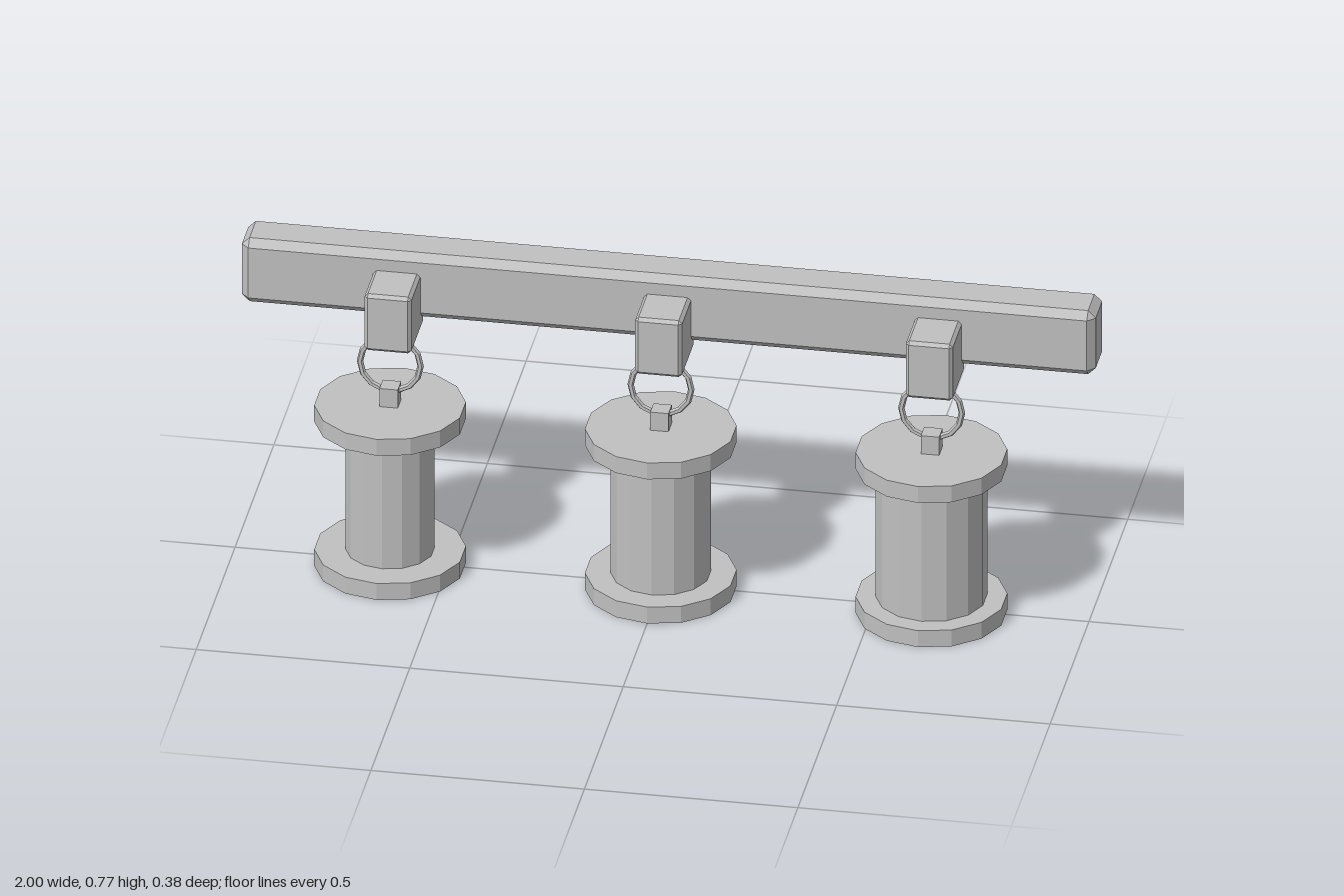
import * as THREE from 'three';
import { ConvexGeometry } from 'three/addons/geometries/ConvexGeometry.js';

const grey = new THREE.MeshStandardMaterial({ color: 0xc0c0c0, flatShading: true });
grey.name = 'grey';

// Box with bevelled edges and corners
function bevelledBox(w, h, d, bevel) {
  const half = [w / 2, h / 2, d / 2];
  const points = [];
  for (const sx of [-1, 1]) for (const sy of [-1, 1]) for (const sz of [-1, 1]) {
    for (let full = 0; full < 3; full++) {
      const [x, y, z] = half.map((v, i) => (i === full ? v : v - bevel));
      points.push(new THREE.Vector3(sx * x, sy * y, sz * z));
    }
  }
  return new ConvexGeometry(points);
}

function addPart(parent, name, geometry, x, y, z) {
  const mesh = new THREE.Mesh(geometry, grey);
  mesh.name = name;
  mesh.position.set(x, y, z);
  parent.add(mesh);
  return mesh;
}

export function createModel() {
  const model = new THREE.Group();
  model.name = 'hangingSpoolRack';
  const sides = 14;
  const spoolZ = 0.016;

  // Long rail at the back
  addPart(model, 'rail', bevelledBox(2, 0.167, 0.117, 0.018), 0, 0.684, -0.129);

  // Shared shapes for the three hangers
  const bracket = bevelledBox(0.11, 0.148, 0.161, 0.008);
  const ring = new THREE.TorusGeometry(0.071, 0.0075, 6, 14);
  const lug = new THREE.BoxGeometry(0.043, 0.052, 0.043);
  const flange = new THREE.CylinderGeometry(0.175, 0.175, 0.043, sides);

  // The spool cores grow thicker from right to left
  [[-0.634, 0.103], [0, 0.116], [0.634, 0.129]].forEach(([x, coreRadius]) => {
    const hanger = new THREE.Group();
    hanger.name = 'hanger';
    hanger.position.x = x;
    model.add(hanger);

    addPart(hanger, 'bracket', bracket, 0, 0.646, -0.0305);
    addPart(hanger, 'ring', ring, 0, 0.526, 0.013);
    addPart(hanger, 'lug', lug, 0, 0.443, 0.013);
    addPart(hanger, 'topFlange', flange, 0, 0.4, spoolZ);
    addPart(hanger, 'bottomFlange', flange, 0, 0.0215, spoolZ);
    const core = new THREE.CylinderGeometry(coreRadius, coreRadius, 0.35, sides);
    addPart(hanger, 'core', core, 0, 0.211, spoolZ);
  });

  return model;
}
